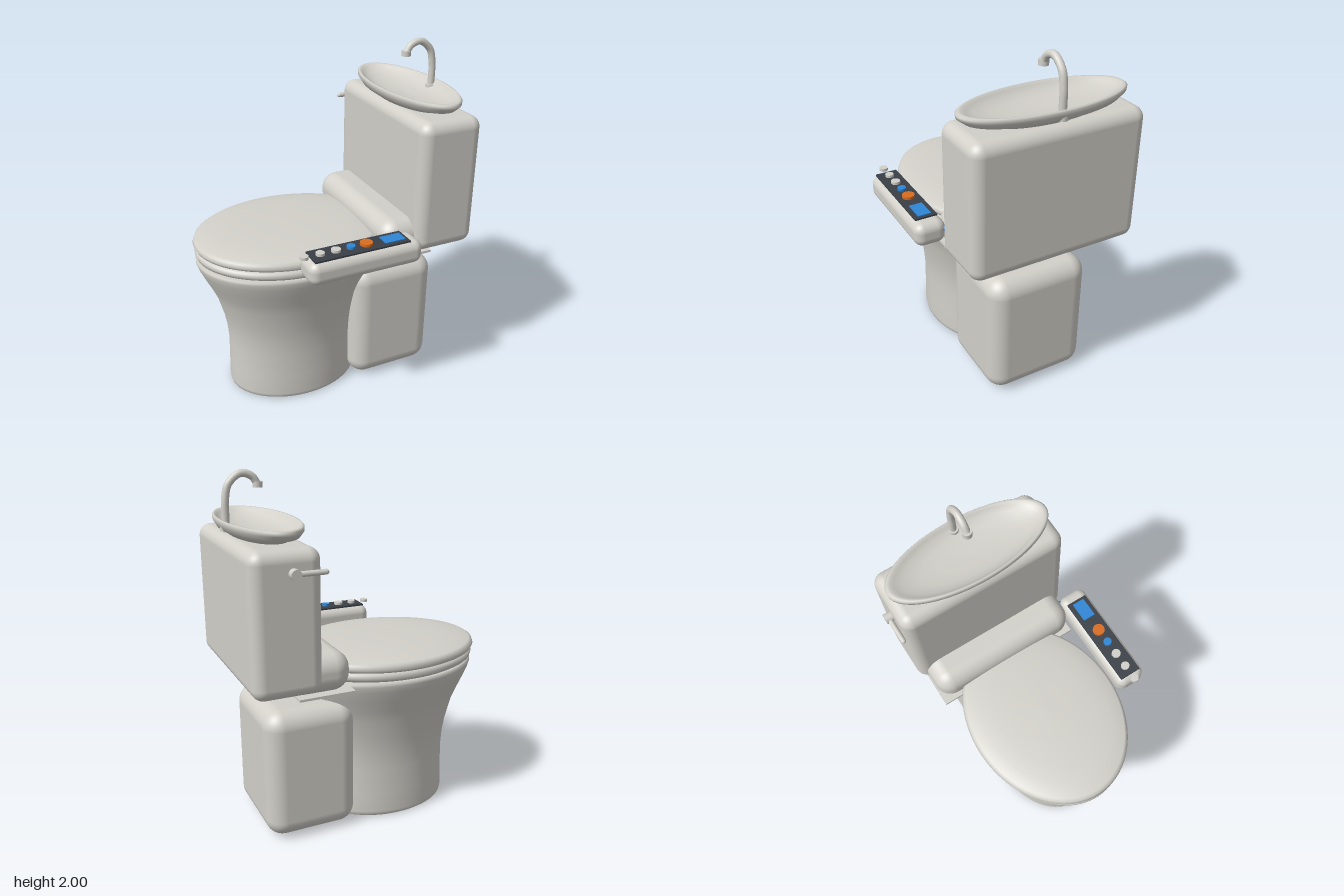
import * as THREE from 'three';
import { RoundedBoxGeometry } from 'three/addons/geometries/RoundedBoxGeometry.js';

export function createModel() {
  const model = new THREE.Group();
  model.name = 'toilet';
  const mat = (name, color) => {
    const m = new THREE.MeshStandardMaterial({ color });
    m.name = name;
    return m;
  };
  const ceramic = mat('ceramic', 0xd2d0c9);
  const dark = mat('darkPanel', 0x3a3f47);
  const blue = mat('blue', 0x2f86d6);
  const orange = mat('orange', 0xd96c20);
  const MID = -0.04; // centre line of the body in z

  const add = (name, geo, material, x = 0, y = 0, z = 0) => {
    const mesh = new THREE.Mesh(geo, material);
    mesh.name = name;
    mesh.position.set(x, y, z);
    model.add(mesh);
    return mesh;
  };
  // Box given by its lower and upper corners, rounded when r > 0
  const box = (name, material, [x0, y0, z0], [x1, y1, z1], r = 0) => {
    const size = [x1 - x0, y1 - y0, z1 - z0];
    const geo = r ? new RoundedBoxGeometry(...size, 6, r) : new THREE.BoxGeometry(...size);
    return add(name, geo, material, (x0 + x1) / 2, (y0 + y1) / 2, (z0 + z1) / 2);
  };
  // Elliptical turned part: profile of [radius, y], scaled along z
  const oval = (name, profile, x, scaleZ, z = MID) => {
    const geo = new THREE.LatheGeometry(profile.map(p => new THREE.Vector2(...p)), 80);
    const mesh = add(name, geo, ceramic, x, 0, z);
    mesh.scale.z = scaleZ;
    return mesh;
  };
  const disc = (name, material, r, h, x, y, z) =>
    add(name, new THREE.CylinderGeometry(r, r, h, 24), material, x, y, z);

  // Bowl pedestal, flared at the rim
  oval('bowl', [
    [0, 0], [0.38, 0], [0.393, 0.008], [0.398, 0.03], [0.395, 0.15], [0.391, 0.3],
    [0.398, 0.4], [0.413, 0.49], [0.448, 0.62], [0.478, 0.69], [0.512, 0.76],
    [0.542, 0.825], [0.553, 0.86], [0.552, 0.876], [0.54, 0.885], [0, 0.885],
  ], -0.187, 0.75);

  // Seat and domed lid
  oval('seat', [
    [0, 0.89], [0.53, 0.89], [0.549, 0.9], [0.555, 0.918], [0.549, 0.936], [0.53, 0.944], [0, 0.944],
  ], -0.187, 0.77);
  oval('lid', [
    [0, 0.945], [0.535, 0.945], [0.551, 0.952], [0.56, 0.968], [0.552, 0.988],
    [0.535, 0.999], [0.45, 1.012], [0.35, 1.02], [0.2, 1.026], [0, 1.028],
  ], -0.187, 0.777, -0.045);

  // Lower housing behind the bowl
  box('rearHousing', ceramic, [0.1, 0.01, -0.34], [0.625, 0.757, 0.265], 0.1);

  // Hinge cover on its thin mounting plate
  box('mountingPlate', ceramic, [0.19, 0.885, -0.487], [0.5, 0.898, 0.395]);
  box('hingeCover', ceramic, [0.195, 0.89, -0.485], [0.56, 1.105, 0.4], 0.095);
  add('statusLight', new THREE.SphereGeometry(0.015, 16, 12), blue, 0.33, 1.02, 0.4);

  // Cistern
  box('tank', ceramic, [0.375, 0.92, -0.527], [0.745, 1.67, 0.447], 0.065);

  // Oval hand basin on the cistern
  oval('basin', [
    [0, 1.66], [0.125, 1.66], [0.145, 1.68], [0.178, 1.698], [0.194, 1.728], [0.195, 1.746],
    [0.19, 1.754], [0.182, 1.753], [0.174, 1.742], [0.155, 1.722], [0.12, 1.704], [0.07, 1.694], [0, 1.69],
  ], 0.549, 2.41);

  // Gooseneck tap
  const neck = new THREE.CatmullRomCurve3([
    [0.708, 1.69], [0.708, 1.77], [0.706, 1.85], [0.685, 1.93], [0.62, 1.979], [0.562, 1.962], [0.535, 1.925],
  ].map(([x, y]) => new THREE.Vector3(x, y, -0.037)));
  add('tapNeck', new THREE.TubeGeometry(neck, 48, 0.02, 16), ceramic);
  disc('tapCollar', ceramic, 0.031, 0.03, 0.708, 1.71, -0.037);
  disc('tapTip', ceramic, 0.026, 0.03, 0.533, 1.92, -0.037);

  // Flush lever on the side of the cistern
  const lever = add('flushLever', new THREE.CapsuleGeometry(0.014, 0.14, 6, 16), ceramic, 0.444, 1.558, -0.547);
  lever.rotation.z = Math.PI / 2;
  const pivot = disc('leverPivot', ceramic, 0.027, 0.045, 0.53, 1.558, -0.545);
  pivot.rotation.x = Math.PI / 2;

  // Control arm with its panel, display and buttons
  box('controlArm', ceramic, [-0.317, 0.937, 0.39], [0.345, 1.071, 0.565], 0.05);
  box('controlPanel', dark, [-0.285, 1.0705, 0.414], [0.27, 1.08, 0.54]);
  box('display', blue, [0.133, 1.079, 0.441], [0.253, 1.085, 0.515]);
  [
    [-0.32, 0.024, ceramic], [-0.23, 0.024, ceramic], [-0.14, 0.026, ceramic],
    [-0.053, 0.024, blue], [0.037, 0.035, orange],
  ].forEach(([x, r, m], i) => disc('button' + (i + 1), m, r, 0.017, x, 1.0865, 0.477));

  return model;
}
